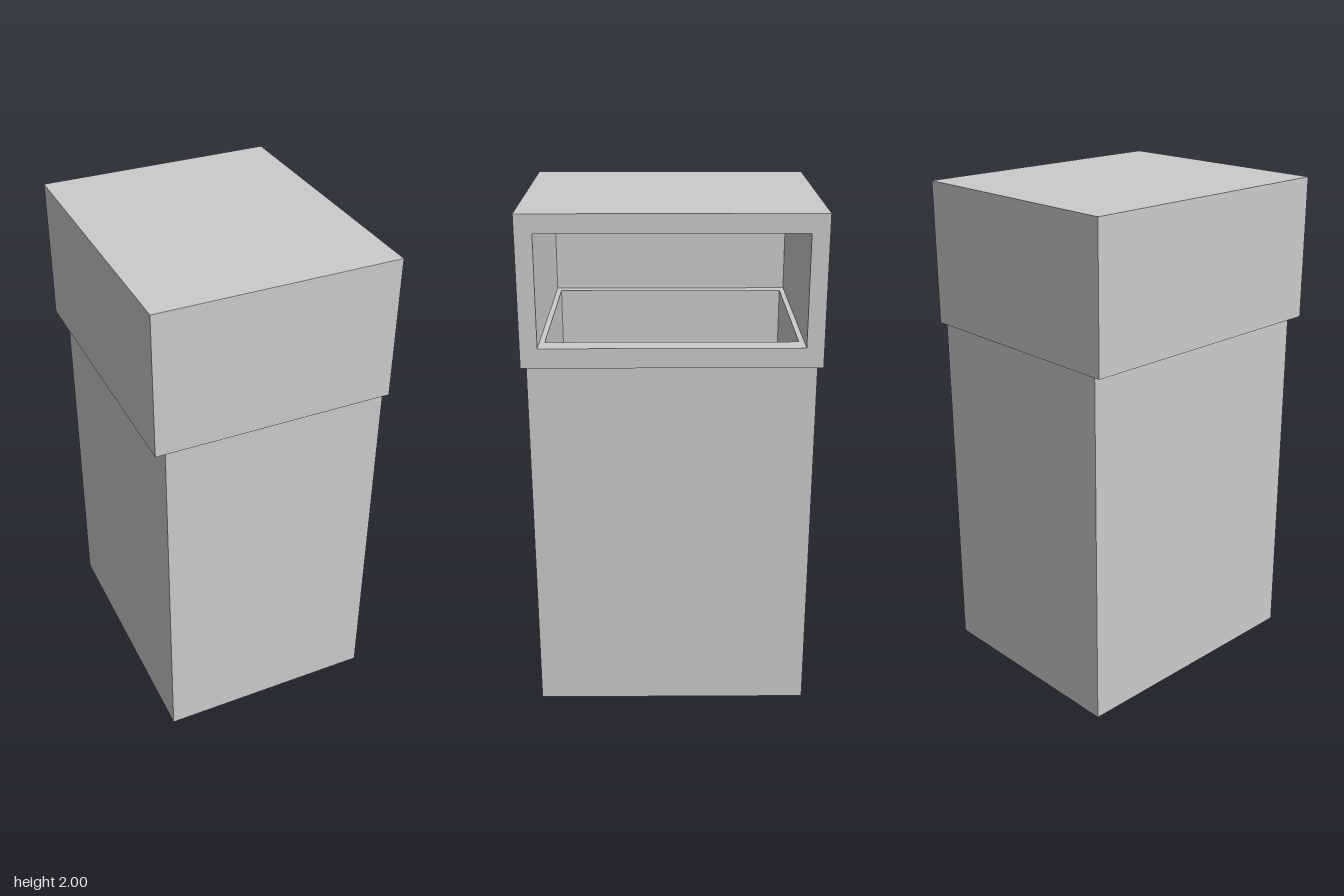
import * as THREE from 'three';

const material = new THREE.MeshStandardMaterial({ color: 0xcccccc, flatShading: true });

// Rectangular outline [x0, x1, half depth] as corner points
const rect = (x0, x1, d) =>
  [[x0, -d], [x1, -d], [x1, d], [x0, d]].map(([x, y]) => new THREE.Vector2(x, y));

// Extrudes a plan outline upward from y0 to y1, with an optional hole
function slab(name, outline, y0, y1, hole) {
  const shape = new THREE.Shape(outline);
  if (hole) shape.holes.push(new THREE.Path(hole));
  const geometry = new THREE.ExtrudeGeometry(shape, { depth: y1 - y0, bevelEnabled: false });
  geometry.rotateX(-Math.PI / 2);
  geometry.translate(0, y0, 0);
  const mesh = new THREE.Mesh(geometry, material);
  mesh.name = name;
  return mesh;
}

export function createModel() {
  const model = new THREE.Group();
  model.name = 'litterBin';

  const bodyOuter = rect(-0.425, 0.455, 0.535);
  const shaft = rect(-0.36, 0.39, 0.47);
  const lidOuter = rect(-0.47, 0.47, 0.555);

  // Body: square tube with a raised inner floor
  const body = new THREE.Group();
  body.name = 'body';
  body.add(
    slab('bodyWalls', bodyOuter, 0, 1.435, shaft),
    slab('innerFloor', shaft, 0, 1.14)
  );

  // Hood: base with the shaft opening, three walls open towards +x, and a roof
  const wallPlan = [
    [-0.47, -0.555], [0.47, -0.555], [0.47, -0.49], [-0.405, -0.49],
    [-0.405, 0.49], [0.47, 0.49], [0.47, 0.555], [-0.47, 0.555]
  ].map(([x, y]) => new THREE.Vector2(x, y));
  const hood = new THREE.Group();
  hood.name = 'hood';
  hood.add(
    slab('hoodBase', lidOuter, 1.435, 1.51, shaft),
    slab('hoodWalls', wallPlan, 1.51, 1.93),
    slab('hoodRoof', lidOuter, 1.93, 2)
  );

  model.add(body, hood);
  return model;
}
